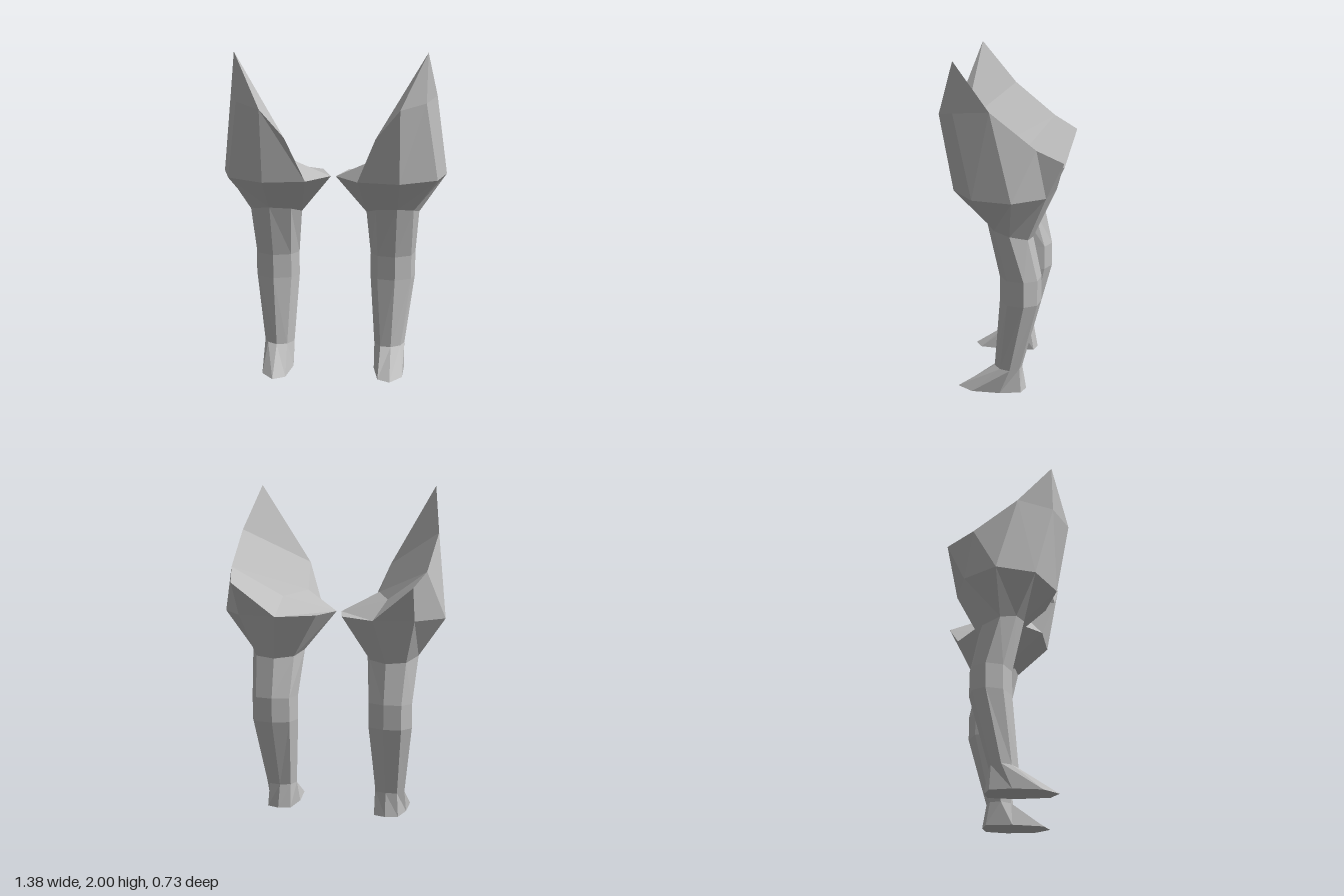
import * as THREE from 'three';

// Octagonal cross-sections of the left leg, floor to hip, each going front -> outer side -> back -> inner side
const sole = [[.36, 0, .275], [.435, 0, .18], [.445, 0, .01], [.42, 0, -.115], [.345, 0, -.14], [.27, 0, -.12], [.255, 0, .04], [.285, 0, .23]];
const ankle = [[.36, .145, .05], [.42, .145, .01], [.445, .145, -.05], [.41, .145, -.105], [.34, .145, -.115], [.275, .145, -.095], [.255, .145, -.03], [.295, .145, .035]];
const calf = [[.38, .57, .015], [.48, .57, -.04], [.505, .57, -.14], [.455, .57, -.215], [.35, .57, -.23], [.25, .57, -.19], [.225, .57, -.09], [.27, .57, -.015]];
const knee = calf.map(([x, , z]) => [x, .72, z]);
const thigh = [[.39, 1.04, .085], [.49, 1.025, .035], [.525, 1, -.06], [.47, .97, -.16], [.35, .96, -.18], [.24, .97, -.12], [.2, 1, -.02], [.26, 1.03, .06]];
const hip = [[.405, 1.235, .28], [.63, 1.235, .14], [.69, 1.235, -.09], [.54, 1.235, -.27], [.3, 1.235, -.31], [.08, 1.235, -.18], [.015, 1.235, .05], [.155, 1.235, .23]];

// Upper rim of the hip, from the peak round the outside to the back, then the inner front
const peak = [.56, 2, .25], belowPeak = [.555, 1.71, .255];
const rimSide = [.62, 1.73, .04], rimRear = [.6, 1.52, -.22], rimBack = [.55, 1.44, -.37];
const rimInner = [.23, 1.35, .16], rimFront = [.265, 1.51, .325], rimTop = [.405, 1.68, .36];
const hollow = [.33, 1.33, -.05];

// Quads joining successive cross-sections
function loft(rings) {
  const faces = [];
  for (let k = 0; k + 1 < rings.length; k++) {
    const a = rings[k], b = rings[k + 1];
    a.forEach((p, i) => {
      const j = (i + 1) % a.length;
      faces.push([p, a[j], b[j], b[i]]);
    });
  }
  return faces;
}

// Flat-faced mesh from convex polygons; side = -1 mirrors it
function partMesh(name, faces, side, material) {
  const pos = [];
  const put = ([x, y, z]) => pos.push(x * side, y, z);
  for (const f of faces) {
    for (let i = 1; i + 1 < f.length; i++) {
      const tri = [f[0], f[i], f[i + 1]];
      if (side < 0) tri.reverse();
      tri.forEach(put);
    }
  }
  const g = new THREE.BufferGeometry();
  g.setAttribute('position', new THREE.Float32BufferAttribute(pos, 3));
  g.computeVertexNormals();
  const mesh = new THREE.Mesh(g, material);
  mesh.name = name;
  return mesh;
}

export function createModel() {
  const grey = new THREE.MeshStandardMaterial({ color: 0xbebebe, flatShading: true });
  grey.name = 'plainGrey';
  const h = hip;

  // Outer wall rising from the hip ring to the rim
  const hipWall = [
    [h[0], h[1], belowPeak, rimTop],
    [h[1], h[2], rimSide, belowPeak],
    [h[2], h[3], rimRear, rimSide],
    [h[3], h[4], rimBack, rimRear],
    [h[7], h[0], rimTop, rimFront],
    [h[7], rimFront, rimInner, h[6]],
    [belowPeak, rimSide, peak],
    [rimTop, belowPeak, peak],
  ];
  // Inner surface closing the hip
  const hipInside = [
    [peak, rimSide, rimFront],
    [peak, rimFront, rimTop],
    [rimSide, rimRear, rimInner, rimFront],
    [rimRear, rimBack, hollow, rimInner],
    [rimBack, h[4], hollow],
    [h[4], h[5], h[6], hollow],
    [h[6], rimInner, hollow],
  ];
  const parts = {
    foot: [...loft([sole, ankle]), [...sole].reverse()],
    shin: loft([ankle, calf]),
    knee: loft([calf, knee]),
    thigh: loft([knee, thigh]),
    hipBase: loft([thigh, hip]),
    hipWall,
    hipInside,
  };

  const model = new THREE.Group();
  model.name = 'legs';
  for (const [name, side] of [['leftLeg', 1], ['rightLeg', -1]]) {
    const leg = new THREE.Group();
    leg.name = name;
    for (const [part, faces] of Object.entries(parts)) leg.add(partMesh(part, faces, side, grey));
    model.add(leg);
  }
  return model;
}
